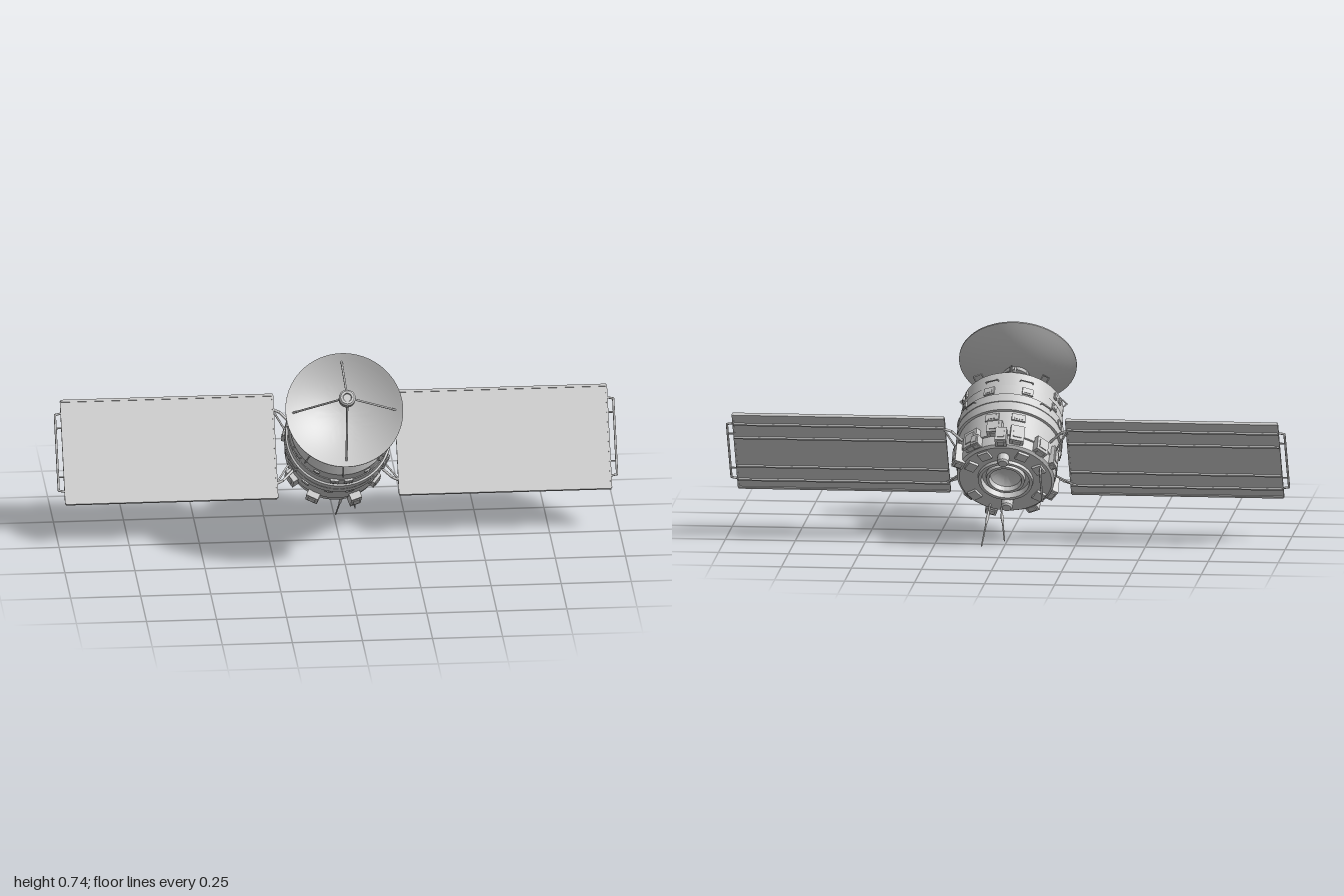
import * as THREE from 'three';
import { toCreasedNormals } from 'three/addons/utils/BufferGeometryUtils.js';

const grey = new THREE.MeshStandardMaterial({ color: 0xcccccc });

// Craft coordinates: x sideways, s along the hull axis (towards the dish), t across it (upwards)
const P = (x, s, t) => new THREE.Vector3(x, s, -t);

function add(parent, name, geometry) {
  const mesh = new THREE.Mesh(geometry, grey);
  mesh.name = name;
  parent.add(mesh);
  return mesh;
}

function lathe(parent, name, points, segments = 64) {
  const g = new THREE.LatheGeometry(points.map(([r, s]) => new THREE.Vector2(r, s)), segments);
  return add(parent, name, toCreasedNormals(g, 0.4));
}

function rod(parent, name, a, b, r, r2 = r) {
  const dir = b.clone().sub(a);
  const mesh = add(parent, name, new THREE.CylinderGeometry(r2, r, dir.length(), 8));
  mesh.position.copy(a).addScaledVector(dir, 0.5);
  mesh.quaternion.setFromUnitVectors(new THREE.Vector3(0, 1, 0), dir.normalize());
  return mesh;
}

// Bent rail through a list of points
function rail(parent, name, pts, r) {
  const g = new THREE.Group();
  g.name = name;
  parent.add(g);
  pts.forEach((p, i) => {
    if (i) rod(g, name + 'Bar', pts[i - 1], p, r);
    if (i && i < pts.length - 1) add(g, name + 'Bend', new THREE.SphereGeometry(r, 8, 6)).position.copy(p);
  });
}

// Mount on the hull surface: x points outwards, y along the axis, z around the hull
function mount(parent, name, degrees, s, r) {
  const g = new THREE.Group();
  const a = THREE.MathUtils.degToRad(degrees);
  g.name = name;
  g.rotation.y = a;
  g.position.copy(P(Math.cos(a) * r, s, Math.sin(a) * r));
  parent.add(g);
  return g;
}

function box(parent, name, w, h, d, x = 0, y = 0, z = 0) {
  const m = add(parent, name, new THREE.BoxGeometry(w, h, d));
  m.position.set(x, y, z);
  return m;
}

function buildHull(craft) {
  // Rear bowl, rear face, stepped cylinder and conical shoulder
  lathe(craft, 'hull', [
    [0, -0.012], [0.02, -0.014], [0.04, -0.022], [0.055, -0.036], [0.058, -0.055], [0.068, -0.055], [0.07, -0.038],
    [0.084, -0.038], [0.086, -0.062], [0.097, -0.062], [0.099, -0.05], [0.165, -0.05], [0.174, -0.042],
    [0.176, -0.005], [0.174, -0.004], [0.174, 0], [0.18, 0.001], [0.18, 0.112], [0.189, 0.113],
    [0.189, 0.15], [0.187, 0.151], [0.187, 0.153], [0.189, 0.154], [0.189, 0.19],
    [0.182, 0.191], [0.182, 0.237], [0.179, 0.238], [0.179, 0.3], [0.14, 0.338],
    [0.105, 0.35], [0.105, 0.357], [0.09, 0.357], [0.088, 0.348], [0.06, 0.35], [0.058, 0.358], [0, 0.36],
  ]);

  // Grab rails around the shoulder
  for (let i = 0; i < 8; i++) {
    const m = mount(craft, 'shoulderGrabRail', i * 45, 0, 0);
    rail(m, 'grabRail', [P(0.142, 0.336, 0), P(0.156, 0.353, 0), P(0.191, 0.316, 0), P(0.178, 0.302, 0)], 0.0028);
  }

  // Hatches, plates and handrails, mirrored left and right
  const plates = [
    [19, 0.272, 0.179, 0.018, 0.02], [29, 0.27, 0.179, 0.026, 0.014], [30, 0.214, 0.182, 0.026, 0.026],
    [-9, 0.093, 0.181, 0.03, 0.022], [-50, 0.079, 0.181, 0.02, 0.028], [-60, 0.272, 0.179, 0.014, 0.022],
    [-82, 0.225, 0.182, 0.035, 0.03], [-78, 0.095, 0.18, 0.026, 0.03], [68, 0.215, 0.182, 0.03, 0.04],
    [75, 0.085, 0.18, 0.03, 0.05],
  ];
  const rails = [[-29, 0.281, 0.179], [-30, 0.177, 0.189], [-30, 0.143, 0.189], [45, 0.176, 0.189], [70, 0.262, 0.179]];
  for (const side of [1, -1]) {
    const ang = (a) => (side > 0 ? a : 180 - a);
    for (const [a, s, r, h, d] of plates) {
      const m = mount(craft, 'surfacePlate', ang(a), s, r);
      box(m, 'plate', 0.01, h, d);
      box(m, 'plateLid', 0.013, h * 0.6, d * 0.6);
    }
    for (const [a, s, r] of rails) {
      const m = mount(craft, 'handrail', ang(a), s, r);
      const v = (x, z) => new THREE.Vector3(x, 0, z);
      rail(m, 'handrail', [v(-0.004, 0.024), v(0.006, 0.022), v(0.006, -0.022), v(-0.004, -0.024)], 0.002);
    }
    const port = add(mount(craft, 'porthole', ang(18), 0.164, 0.189), 'portholeRing', new THREE.TorusGeometry(0.016, 0.003, 8, 24));
    port.rotation.y = Math.PI / 2;
  }
}

function buildRear(craft) {
  // Equipment boxes around the tail: angle, s, radius, thickness, length, width
  const boxes = [
    [25, -0.013, 0.18, 0.04, 0.085, 0.036], [52, 0, 0.184, 0.03, 0.07, 0.06], [60, -0.025, 0.192, 0.03, 0.04, 0.03],
    [80, 0.025, 0.186, 0.03, 0.05, 0.055], [88, -0.02, 0.19, 0.035, 0.06, 0.04], [105, 0, 0.184, 0.025, 0.07, 0.05],
    [135, -0.01, 0.182, 0.03, 0.06, 0.05], [160, 0, 0.178, 0.03, 0.08, 0.036], [212, 0, 0.184, 0.03, 0.07, 0.05],
    [243, -0.01, 0.184, 0.035, 0.06, 0.045], [289, -0.005, 0.19, 0.03, 0.08, 0.04], [320, 0, 0.18, 0.02, 0.06, 0.04],
  ];
  for (const [a, s, r, w, h, d] of boxes) {
    const m = mount(craft, 'equipmentBox', a, s, r);
    box(m, 'case', w, h, d);
    box(m, 'cover', 0.006, h * 0.6, d * 0.6, w / 2);
    box(m, 'endCap', w * 0.6, 0.008, d * 0.6, 0, -h / 2);
  }

  // Flat modules lying on the rear face
  for (const [a, r] of [[30, 0.135], [62, 0.14], [118, 0.14], [155, 0.135], [215, 0.14], [325, 0.14]])
    box(mount(craft, 'rearModule', a, -0.052, r), 'module', 0.035, 0.016, 0.04);

  // Two small rear thrusters
  for (const t of [0.117, -0.115])
    lathe(craft, 'thruster', [[0, -0.085], [0.016, -0.085], [0.021, -0.078], [0.021, -0.05], [0.018, -0.045]], 20)
      .position.z = -t;

  // Rear grab bar
  rail(craft, 'rearGrabBar', [P(-0.13, -0.048, -0.085), P(-0.13, -0.083, -0.075), P(-0.13, -0.083, 0.064), P(-0.13, -0.048, 0.074)], 0.004);

  // Whip antennas with a thick sleeve at mid length
  for (const [a, b] of [
    [P(0.025, -0.045, -0.15), P(0.005, -0.174, -0.191)],
    [P(0.062, -0.045, -0.135), P(0.08, -0.236, -0.152)],
  ]) {
    rod(craft, 'antenna', a, b, 0.0035, 0.0025);
    const at = (k) => a.clone().lerp(b, k);
    rod(craft, 'antennaSleeve', at(0.2), at(0.35), 0.004, 0.006);
    rod(craft, 'antennaSleeve', at(0.35), at(0.5), 0.006, 0.003);
  }
}

function buildDish(craft) {
  // Thin parabolic shell with a small base hub
  const outer = [], inner = [];
  for (let i = 0; i <= 12; i++) {
    const r = 0.21 * i / 12, s = 0.445 + 0.067 * (i / 12) ** 2;
    outer.push([r, s]);
    inner.unshift([r, s + 0.005]);
  }
  lathe(craft, 'dish', [...outer, ...inner]);
  lathe(craft, 'dishHub', [[0, 0.439], [0.042, 0.439], [0.048, 0.45]], 32);

  // Legs between hull and dish
  for (let i = 0; i < 6; i++) {
    const a = i * Math.PI / 3, c = Math.cos(a), n = Math.sin(a);
    rod(craft, 'dishLeg', P(n * 0.085, 0.34, c * 0.085), P(n * 0.042, 0.45, c * 0.042), 0.004);
  }

  // Feed horn on four struts
  for (let i = 0; i < 4; i++) {
    const a = i * Math.PI / 2, c = Math.cos(a), n = Math.sin(a);
    rod(craft, 'feedStrut', P(n * 0.184, 0.498, c * 0.184), P(n * 0.02, 0.66, c * 0.02), 0.0038);
  }
  lathe(craft, 'feedHorn', [
    [0, 0.65], [0.024, 0.65], [0.03, 0.655], [0.03, 0.664], [0.027, 0.665], [0.027, 0.668],
    [0.03, 0.669], [0.03, 0.678], [0.024, 0.683], [0.016, 0.683], [0.014, 0.678], [0, 0.678],
  ], 16);
}

function buildPanel(craft, side) {
  const g = new THREE.Group();
  g.name = side > 0 ? 'leftSolarPanel' : 'rightSolarPanel';
  craft.add(g);
  const x0 = 0.218, x1 = 0.973, xm = (x0 + x1) / 2, len = x1 - x0;
  const bar = (name, h, d, s, t) => box(g, name, len, h, d, side * xm, s, -t);
  bar('panelSheet', 0.006, 0.38, 0.063, 0);
  // Edge rails and rear stringers
  for (const t of [-0.189, 0.189]) bar('edgeRail', 0.013, 0.009, 0.063, t);
  for (const t of [-0.145, -0.075, 0.075, 0.145]) bar('stringer', 0.008, 0.007, 0.057, t);
  for (const x of [x0, x1]) box(g, 'endRail', 0.006, 0.01, 0.38, side * x, 0.063, 0);
  for (const t of [-0.14, 0.14]) {
    // Hinge arms to the hull
    const u = Math.sign(t);
    rod(g, 'hingeArm', P(side * 0.225, 0.06, t), P(side * 0.195, 0.06, t * 0.9), 0.005);
    rod(g, 'hingeArm', P(side * 0.195, 0.06, t * 0.9), P(side * 0.15, 0.05, u * 0.08), 0.005);
    rod(g, 'hingeBrace', P(side * 0.222, 0.06, t), P(side * 0.165, 0.02, u * 0.05), 0.0035);
  }
  rail(g, 'tipRail', [P(side * 0.972, 0.063, 0.145), P(side * 0.996, 0.063, 0.14), P(side * 0.996, 0.063, -0.14), P(side * 0.972, 0.063, -0.145)], 0.004);
  for (const t of [-0.09, 0.09]) rod(g, 'tipRailPost', P(side * 0.972, 0.063, t), P(side * 0.996, 0.063, t), 0.003);
}

export function createModel() {
  const model = new THREE.Group();
  model.name = 'satellite';
  const craft = new THREE.Group();
  craft.name = 'craft';
  craft.rotation.x = 0.927;
  craft.position.set(0, 0.265, -0.199);
  model.add(craft);
  buildHull(craft);
  buildRear(craft);
  buildDish(craft);
  for (const side of [1, -1]) buildPanel(craft, side);
  return model;
}
